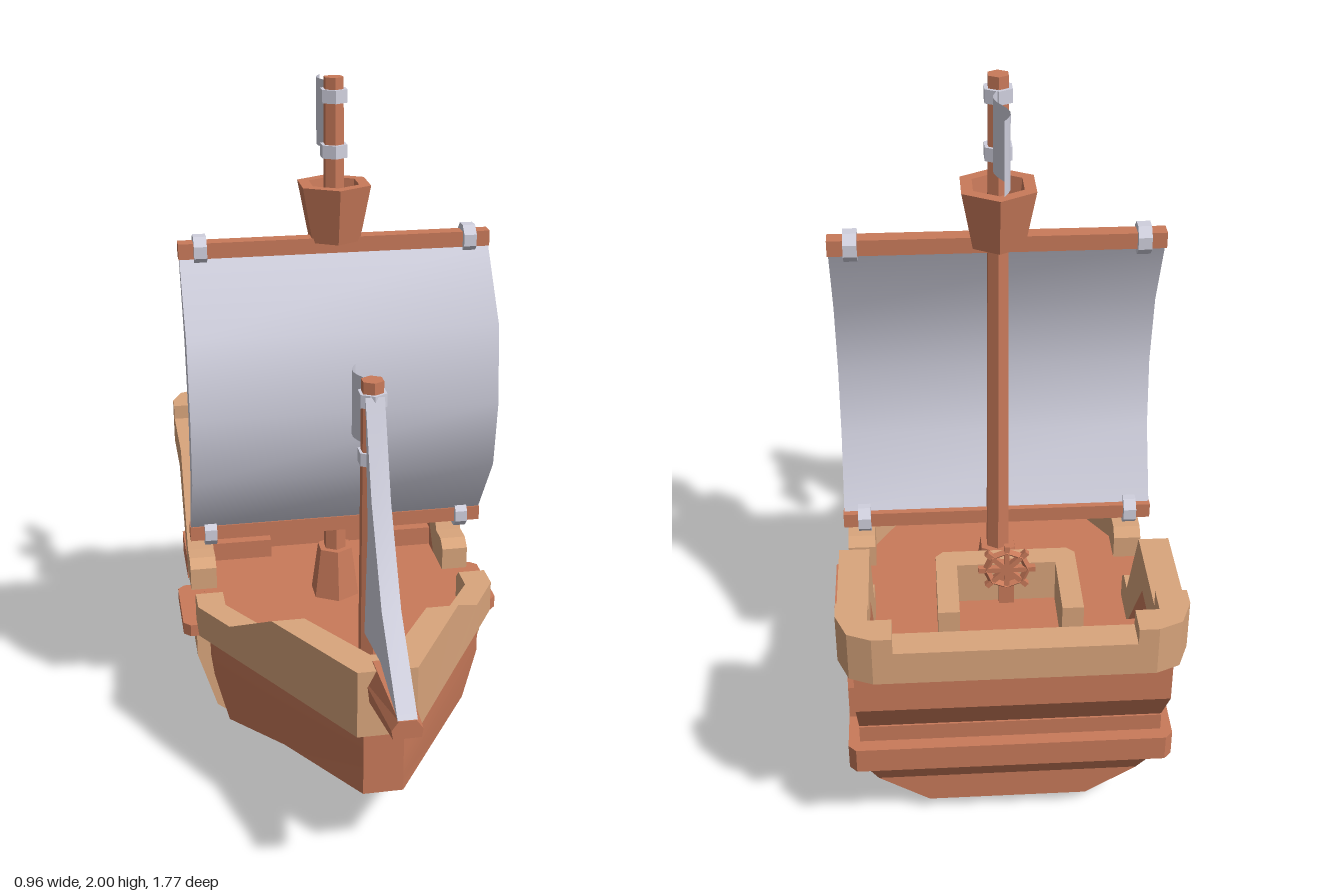
import * as THREE from 'three';
import { toCreasedNormals } from 'three/addons/utils/BufferGeometryUtils.js';

const mat = (name, color) => {
  const m = new THREE.MeshStandardMaterial({ color, side: THREE.DoubleSide });
  m.name = name;
  return m;
};

// Extrude a [z, y] side outline from x0 to x1
function sideExtrude(points, x0, x1, holes = []) {
  const toV = ([z, y]) => new THREE.Vector2(-z, y);
  const shape = new THREE.Shape(points.map(toV));
  holes.forEach(h => shape.holes.push(new THREE.Path(h.map(toV))));
  const g = new THREE.ExtrudeGeometry(shape, { depth: x1 - x0, bevelEnabled: false });
  return g.rotateY(Math.PI / 2).translate(x0, 0, 0);
}

// Extrude an [x, z] plan outline from y0 to y1
function planExtrude(points, y0, y1) {
  const shape = new THREE.Shape(points.map(([x, z]) => new THREE.Vector2(x, -z)));
  const g = new THREE.ExtrudeGeometry(shape, { depth: y1 - y0, bevelEnabled: false });
  return g.rotateX(-Math.PI / 2).translate(0, y0, 0);
}

// Skin closed rings; each ring runs counter-clockwise seen from the first end
function loft(rings, crease = 0.1) {
  const pos = [], n = rings[0].length;
  const tri = (a, b, c) => pos.push(...a, ...b, ...c);
  const quad = (a, b, c, d) => { tri(a, b, c); tri(a, c, d); };
  for (let r = 0; r < rings.length - 1; r++) {
    const a = rings[r], b = rings[r + 1];
    for (let i = 0; i < n; i++) quad(a[i], b[i], b[(i + 1) % n], a[(i + 1) % n]);
  }
  const first = rings[0], last = rings[rings.length - 1];
  for (let j = 0; j < n / 2 - 1; j++) {
    quad(first[j], first[j + 1], first[n - 2 - j], first[n - 1 - j]);
    quad(last[n - 1 - j], last[n - 2 - j], last[j + 1], last[j]);
  }
  const g = new THREE.BufferGeometry();
  g.setAttribute('position', new THREE.Float32BufferAttribute(pos, 3));
  return toCreasedNormals(g, crease);
}

// Mirror a half section (bottom to top) into a full ring
const mirrorRing = half => [...half, ...half.map(([x, y, z]) => [-x, y, z]).reverse()];

const box = (x0, x1, y0, y1, z0, z1) => new THREE.BoxGeometry(x1 - x0, y1 - y0, z1 - z0)
  .translate((x0 + x1) / 2, (y0 + y1) / 2, (z0 + z1) / 2);

// Upright six-sided post with flat faces
const post = (rTop, rBottom, y0, y1, z) => toCreasedNormals(
  new THREE.CylinderGeometry(rTop, rBottom, y1 - y0, 6), 0.3).translate(0, (y0 + y1) / 2, z);

// Arched window outline in the side plane
function arch(halfWidth, y0, ySpring, height) {
  const pts = [[-0.62 + halfWidth, y0], [-0.62 - halfWidth, y0]];
  for (let i = 0; i <= 6; i++) {
    const a = Math.PI * i / 6;
    pts.push([-0.62 - halfWidth * Math.cos(a), ySpring + height * Math.sin(a)]);
  }
  return pts;
}

export function createModel() {
  const ship = new THREE.Group();
  ship.name = 'sailingShip';
  const wood = mat('wood', 0xc97a5a);
  const trim = mat('lightWood', 0xd9a57c);
  const cloth = mat('cloth', 0xd0d0de);
  const add = (name, geometry, material) => {
    const m = new THREE.Mesh(geometry, material);
    m.name = name;
    ship.add(m);
    return m;
  };

  // Hull: bow, midship and stern sections
  add('hull', loft([
    mirrorRing([[0.055, 0.22, 0.606], [0.055, 0.26, 0.606], [0.055, 0.33, 0.606], [0.055, 0.43, 0.606]]),
    mirrorRing([[0.22, 0.05, 0.06], [0.36, 0.14, 0.06], [0.4, 0.3, 0.06], [0.4, 0.43, 0.06]]),
    mirrorRing([[0.22, 0.05, -0.64], [0.36, 0.14, -0.64], [0.4, 0.3, -0.74], [0.4, 0.43, -0.74]])
  ], 0.45), wood);
  add('sternCastle', sideExtrude([[-0.63, 0.43], [-0.735, 0.43], [-0.84, 0.58], [-0.84, 0.71],
    [-0.81, 0.71], [-0.81, 0.67], [-0.63, 0.67]], -0.36, 0.36), wood);
  add('sternLedge', planExtrude([[-0.43, -0.555], [0.43, -0.555], [0.43, -0.755], [0.41, -0.775],
    [-0.41, -0.775], [-0.43, -0.755]], 0.305, 0.38), wood);

  // Band around the middle of the hull
  const bandHalf = z => mirrorRing([[0.235, 0, z], [0.385, 0.12, z], [0.44, 0.3, z], [0.44, 0.4, z]]);
  add('hullBand', loft([bandHalf(-0.06), bandHalf(-0.235)]), trim);

  // Bow bulwark: [outerX, outerZ, innerX, innerZ, top] from the left side round to the right
  const half = [
    [0.44, -0.055, 0.36, -0.055, 0.5], [0.44, -0.03, 0.36, -0.03, 0.525],
    [0.44, 0.05, 0.36, 0.05, 0.525], [0.362, 0.18, 0.277, 0.18, 0.525],
    [0.262, 0.345, 0.171, 0.345, 0.625], [0.08, 0.648, 0.03, 0.565, 0.625]
  ];
  const stations = [...half, ...half.map(([a, b, c, d, t]) => [-a, b, -c, d, t]).reverse()];
  add('bowBulwark', loft(stations.map(([ox, oz, ix, iz, top]) =>
    [[ox, 0.43, oz], [ix, 0.43, iz], [ix, top, iz], [ox, top, oz]])), trim);

  // Bowsprit
  const spritRing = (w, y0, y1, z) => mirrorRing([[w * 0.9, y0, z], [w, (y0 + y1) / 2, z], [w * 0.55, y1, z]]);
  add('bowsprit', loft([spritRing(0.04, 0.575, 0.625, 0.885), spritRing(0.056, 0.525, 0.627, 0.6)]), wood);

  // Parts repeated on both sides
  for (const s of [1, -1]) {
    const side = s > 0 ? 'left' : 'right';
    const across = (pts, a, b, holes) => sideExtrude(pts, Math.min(s * a, s * b), Math.max(s * a, s * b), holes);
    const flip = pts => pts.map(([x, z]) => [s * x, z]);
    add(side + 'SternWall', across([[-0.36, 0.43], [-0.735, 0.43], [-0.84, 0.58], [-0.84, 0.71],
      [-0.565, 0.71]], 0.36, 0.4), wood);
    add(side + 'SternBulwark', across([[-0.235, 0.43], [-0.36, 0.43], [-0.565, 0.71], [-0.74, 0.71],
      [-0.74, 0.805], [-0.465, 0.805], [-0.325, 0.525], [-0.265, 0.525], [-0.235, 0.5]], 0.36, 0.44), trim);
    add(side + 'SternCorner', planExtrude(flip([[0.44, -0.74], [0.44, -0.79], [0.41, -0.86], [0.35, -0.885],
      [0.3, -0.885], [0.3, -0.81], [0.36, -0.81], [0.36, -0.74]]), 0.71, 0.85), trim);
    add(side + 'SidePlate', planExtrude(flip([[0.36, -0.02], [0.46, -0.02], [0.48, -0.04], [0.48, -0.255],
      [0.46, -0.275], [0.36, -0.275]]), 0.39, 0.427), wood);
    add(side + 'WindowFrame', across(arch(0.078, 0.43, 0.53, 0.075), 0.38, 0.425,
      [arch(0.045, 0.465, 0.525, 0.045)]), wood);
    add(side + 'WindowPane', across(arch(0.047, 0.463, 0.525, 0.047), 0.4, 0.407), cloth);
    // Stairs to the upper deck
    for (let i = 0; i < 3; i++) {
      const z = -0.42 - i * 0.07;
      const [a, b] = [s * 0.165, s * 0.36].sort((p, q) => p - q);
      add(side + 'Step' + (i + 1), box(a, b, 0.43, 0.49 + i * 0.06, -0.63, z), wood);
    }
  }
  add('sternRail', box(-0.3, 0.3, 0.71, 0.805, -0.885, -0.81), trim);

  // Helm platform, its rail and the wheel
  add('helmPlatform', box(-0.165, 0.165, 0.43, 0.67, -0.63, -0.49), wood);
  add('helmRail', planExtrude([[-0.185, -0.72], [-0.185, -0.49], [-0.165, -0.47], [0.165, -0.47], [0.185, -0.49],
    [0.185, -0.72], [0.13, -0.72], [0.13, -0.53], [-0.13, -0.53], [-0.13, -0.72]], 0.66, 0.79), trim);
  const helm = new THREE.Group();
  helm.name = 'helm';
  helm.position.set(0, 0.79, -0.55);
  const helmPart = (name, g) => {
    const m = new THREE.Mesh(g, wood);
    m.name = name;
    helm.add(m);
  };
  helmPart('wheelRim', toCreasedNormals(new THREE.TorusGeometry(0.055, 0.01, 4, 8), 0.3));
  for (let i = 0; i < 4; i++)
    helmPart('wheelSpoke', new THREE.BoxGeometry(0.15, 0.014, 0.016).rotateZ(i * Math.PI / 4));
  helmPart('wheelStand', new THREE.BoxGeometry(0.04, 0.13, 0.03).translate(0, -0.06, 0.02));
  ship.add(helm);

  // Masts with rings and flags
  const masts = [
    { name: 'main', z: -0.161, r: 0.029, rBottom: 0.036, top: 2, rings: [1.95, 1.8], flag: [1.78, 1.97] },
    { name: 'fore', z: 0.415, r: 0.031, rBottom: 0.036, top: 1.335, rings: [1.285, 1.125], flag: [1.107, 1.293] }
  ];
  for (const m of masts) {
    add(m.name + 'Mast', post(m.r, m.rBottom, 0.43, m.top, m.z), wood);
    m.rings.forEach(y => add(m.name + 'MastRing', post(0.04, 0.04, y - 0.018, y + 0.018, m.z), cloth));
    const [y0, y1] = m.flag;
    const flag = new THREE.PlaneGeometry(0.21, y1 - y0, 10, 1).rotateY(Math.PI / 2);
    const p = flag.attributes.position;
    for (let i = 0; i < p.count; i++) p.setX(i, 0.018 * Math.sin((p.getZ(i) / 0.21) * Math.PI * 2));
    flag.computeVertexNormals();
    add(m.name + 'Flag', flag.translate(0, (y0 + y1) / 2, m.z - 0.135), cloth);
  }
  add('mastFoot', post(0.055, 0.077, 0.43, 0.585, -0.161), wood);
  const nest = [[0, 1.55], [0.077, 1.55], [0.11, 1.71], [0.075, 1.71], [0.062, 1.6], [0, 1.6]];
  add('crowsNest', toCreasedNormals(new THREE.LatheGeometry(
    nest.map(([r, y]) => new THREE.Vector2(r, y)), 6), 0.3).translate(0, 0, -0.161), wood);

  // Yards with clamps
  for (const y of [1.542, 0.678]) {
    add('yard', box(-0.442, 0.442, y - 0.022, y + 0.022, -0.163, -0.119), wood);
    for (const x of [-0.382, 0.382])
      add('yardClamp', toCreasedNormals(new THREE.CylinderGeometry(0.043, 0.043, 0.036, 8), 0.3)
        .rotateY(Math.PI / 8).rotateZ(Math.PI / 2).translate(x, y, -0.141), cloth);
  }

  // Sails
  add('mainSail', toCreasedNormals(sideExtrude([[-0.13, 1.53], [0.02, 1.33], [0.05, 1.105], [0.02, 0.9],
    [-0.13, 0.69], [-0.15, 0.69], [-0.045, 0.9], [-0.018, 1.1], [-0.05, 1.31], [-0.15, 1.53]],
  -0.44, 0.44), 0.75), cloth);
  add('foreSail', toCreasedNormals(sideExtrude([[0.45, 1.3], [0.54, 1.05], [0.68, 0.815], [0.885, 0.627],
    [0.67, 0.665], [0.455, 0.627], [0.49, 0.95]], -0.025, 0.025), 0.5), cloth);
  return ship;
}
